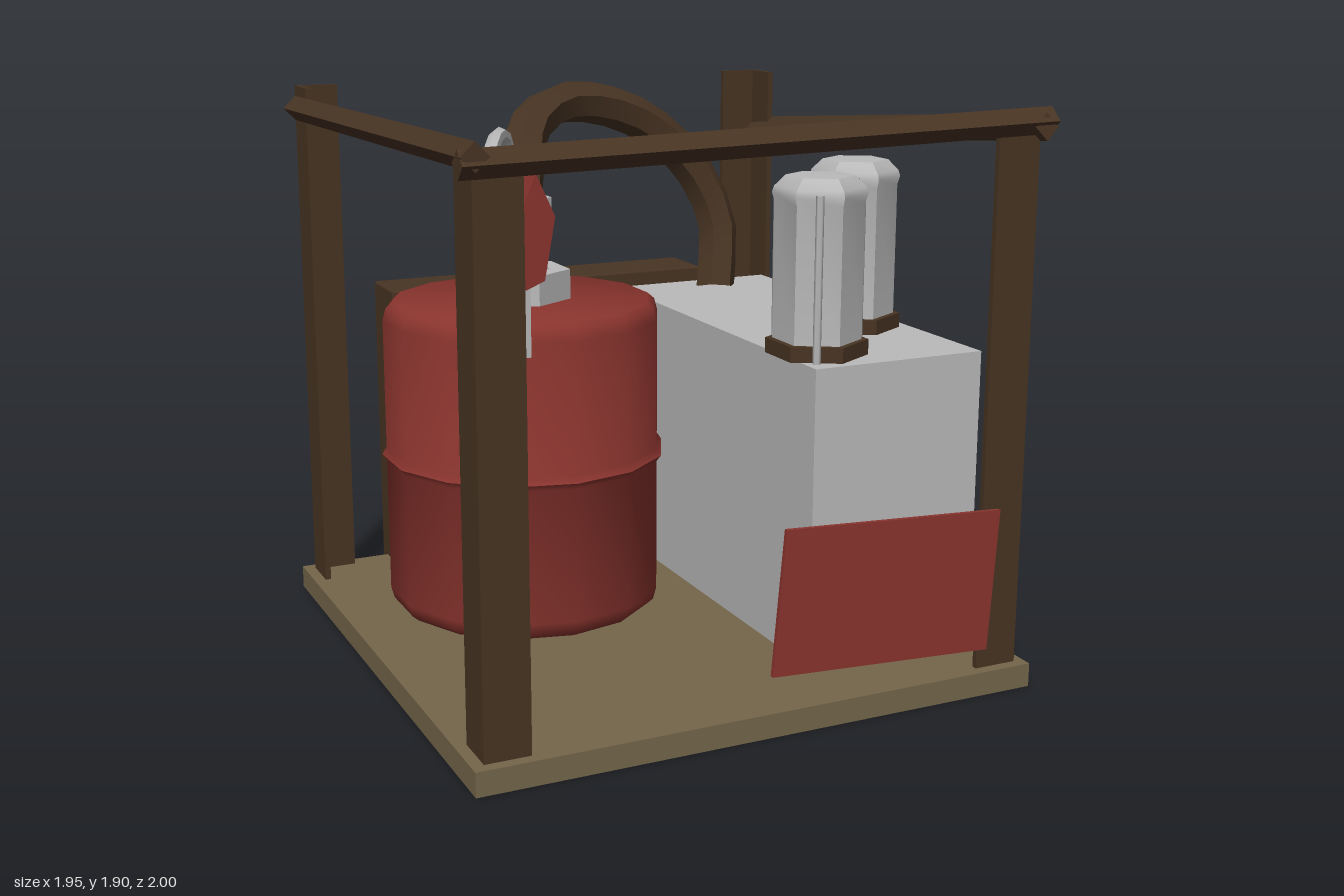
import * as THREE from 'three';
import { toCreasedNormals } from 'three/addons/utils/BufferGeometryUtils.js';
import { RoundedBoxGeometry } from 'three/addons/geometries/RoundedBoxGeometry.js';

const material = (name, color) => {
  const m = new THREE.MeshStandardMaterial({ color });
  m.name = name;
  return m;
};

const V = (x, y, z) => new THREE.Vector3(x, y, z);
const shapeOf = (pts) => new THREE.Shape(pts.map(([x, y]) => new THREE.Vector2(x, y)));
const extrude = (shape, depth) => new THREE.ExtrudeGeometry(shape, { depth, bevelEnabled: false });
const hexPoints = (r) => Array.from({ length: 6 }, (_, i) => {
  const a = Math.PI / 2 + i * Math.PI / 3;
  return [r * Math.cos(a), r * Math.sin(a)];
});

// Plan outline given as [x, z], raised from y0 to y1
function slab(pts, y0, y1) {
  return extrude(shapeOf(pts.map(([x, z]) => [x, -z])), y1 - y0).rotateX(-Math.PI / 2).translate(0, y0, 0);
}

// Hexagonal ring standing on y = 0
function hexRing(outer, inner, height) {
  const shape = shapeOf(hexPoints(outer));
  shape.holes.push(new THREE.Path(hexPoints(inner).reverse().map(([x, y]) => new THREE.Vector2(x, y))));
  return extrude(shape, height).rotateX(-Math.PI / 2);
}

// Faceted turned part
const turned = (profile, sides, crease = 0.6) => toCreasedNormals(
  new THREE.LatheGeometry(profile.map(([r, y]) => new THREE.Vector2(r, y)), sides), crease);

const hose = (pts, segments, radius) => toCreasedNormals(
  new THREE.TubeGeometry(new THREE.CatmullRomCurve3(pts.map((p) => V(...p))), segments, radius, 6), 0.6);

export function createModel() {
  const model = new THREE.Group();
  model.name = 'pumpStation';
  const red = material('red paint', 0x8a342e);
  const grey = material('light grey metal', 0xbababa);
  const brown = material('dark brown iron', 0x483423);
  const tan = material('tan base', 0x74664a);

  const add = (name, geometry, mat, parent = model) => {
    const mesh = new THREE.Mesh(geometry, mat);
    mesh.name = name;
    parent.add(mesh);
    return mesh;
  };

  // Base plate with one cut corner
  add('base', slab([[-0.97, -0.94], [0.78, -0.94], [0.965, -0.76], [0.965, 0.995], [-0.97, 0.995]], 0, 0.08), tan);

  // Angle iron corner posts
  for (const sx of [-1, 1]) {
    for (const [zo, sz, top] of [[0.957, 1, 1.85], [-0.908, -1, 1.895]]) {
      const X = (d) => sx * (0.93 - d);
      const Z = (d) => zo - sz * d;
      add('cornerPost', slab([
        [X(0), Z(0)], [X(0.15), Z(0)], [X(0.15), Z(0.02)],
        [X(0.02), Z(0.02)], [X(0.02), Z(0.15)], [X(0), Z(0.15)],
      ], 0.08, top), brown);
    }
  }

  // Top rails: square bars standing on edge, slightly crooked
  const rail = (name, a, b) => {
    const dir = b.clone().sub(a);
    const bar = toCreasedNormals(new THREE.CylinderGeometry(0.043, 0.043, dir.length(), 4), 0.6);
    const mesh = add(name, bar, brown);
    mesh.position.copy(a).lerp(b, 0.5);
    mesh.quaternion.setFromUnitVectors(V(0, 1, 0), dir.normalize());
  };
  rail('frontRail', V(-0.97, 1.822, 0.957), V(0.97, 1.862, 0.957));
  rail('rightRail', V(-0.93, 1.845, 0.99), V(-0.93, 1.815, -0.91));
  rail('leftRail', V(0.93, 1.845, 0.99), V(0.93, 1.665, -0.91));

  // Back cabinet
  add('backCabinet', new RoundedBoxGeometry(1.26, 1.135, 0.23, 1, 0.01), brown).position.set(-0.005, 0.58, -0.885);

  // Grey tank with red plates
  add('tank', new THREE.BoxGeometry(0.615, 0.99, 1.49), grey).position.set(0.543, 0.615, 0.065);
  add('sidePlate', extrude(shapeOf([
    [-0.4, 0.79], [-0.385, 0.4], [0.195, 0.36], [0.21, 0.83], [-0.07, 0.91],
  ]), 0.02).rotateY(Math.PI / 2).translate(0.848, 0, 0), red);
  add('frontPlate', extrude(shapeOf([[0, 0.2], [0.79, 0.16], [0.82, 0.63], [0.04, 0.67]]), 0.015)
    .translate(0, 0, 0.98), red);

  // Ribbed barrel with its nut
  const barrel = new THREE.Group();
  barrel.name = 'barrel';
  barrel.position.set(-0.342, 0, -0.215);
  model.add(barrel);
  add('barrelBody', turned([
    [0, 0.12], [0.445, 0.12], [0.468, 0.14], [0.479, 0.18], [0.479, 0.645], [0.495, 0.667],
    [0.479, 0.69], [0.479, 1.14], [0.468, 1.18], [0.445, 1.2], [0, 1.2],
  ], 14, 0.75), red, barrel);
  add('barrelNut', hexRing(0.17, 0.1, 0.105), grey, barrel).position.y = 1.198;
  add('hoseCollar', hexRing(0.108, 0.07, 0.08), grey, barrel).position.y = 1.47;

  // Thick hose arching from barrel to tank
  add('mainHose', hose([
    [-0.342, 1.19, -0.21], [-0.342, 1.5, -0.21], [-0.31, 1.64, -0.26], [-0.23, 1.76, -0.41],
    [-0.03, 1.83, -0.57], [0.29, 1.76, -0.67], [0.52, 1.58, -0.68], [0.63, 1.35, -0.645], [0.59, 1.1, -0.57],
  ], 18, 0.075), brown);

  // Two hexagonal canisters, each held by three rods
  for (const [x, z] of [[0.35, 0.615], [0.668, 0.3]]) {
    const can = new THREE.Group();
    can.name = 'canister';
    can.position.set(x, 1.11, z);
    model.add(can);
    add('canisterFoot', turned([[0, 0], [0.165, 0], [0.165, 0.05], [0, 0.05]], 6), brown, can);
    add('canisterBody', turned([
      [0.143, 0.05], [0.143, 0.49], [0.152, 0.52], [0.145, 0.54], [0.11, 0.575], [0, 0.58],
    ], 6), grey, can);
    for (let i = 0; i < 3; i++) {
      const a = i * Math.PI * 2 / 3;
      add('canisterRod', new THREE.CylinderGeometry(0.013, 0.013, 0.53, 6), grey, can)
        .position.set(0.155 * Math.cos(a), 0.265, 0.155 * Math.sin(a));
    }
  }

  // Hanging nozzle: grip, two shell halves and thin hose
  const nozzle = new THREE.Group();
  nozzle.name = 'nozzle';
  model.add(nozzle);
  add('nozzleGrip', new THREE.BoxGeometry(0.095, 0.24, 0.075), grey, nozzle).position.set(-0.678, 1.31, 0.575);
  add('greyShell', extrude(shapeOf([
    [-0.72, 1.73], [-0.77, 1.6], [-0.77, 1.4], [-0.68, 1.42], [-0.65, 1.5], [-0.66, 1.62],
  ]), 0.07).translate(0, 0, 0.54), grey, nozzle);
  add('redShell', extrude(shapeOf([
    [-0.61, 1.74], [-0.67, 1.6], [-0.675, 1.45], [-0.645, 1.395], [-0.585, 1.42], [-0.55, 1.61],
  ]), 0.08).translate(0, 0, 0.535), red, nozzle);
  add('nozzleHose', hose([
    [-0.9, 1.7, 0.93], [-0.84, 1.8, 0.84], [-0.77, 1.865, 0.72], [-0.71, 1.85, 0.63], [-0.66, 1.7, 0.57],
  ], 10, 0.021), grey, nozzle);

  return model;
}
